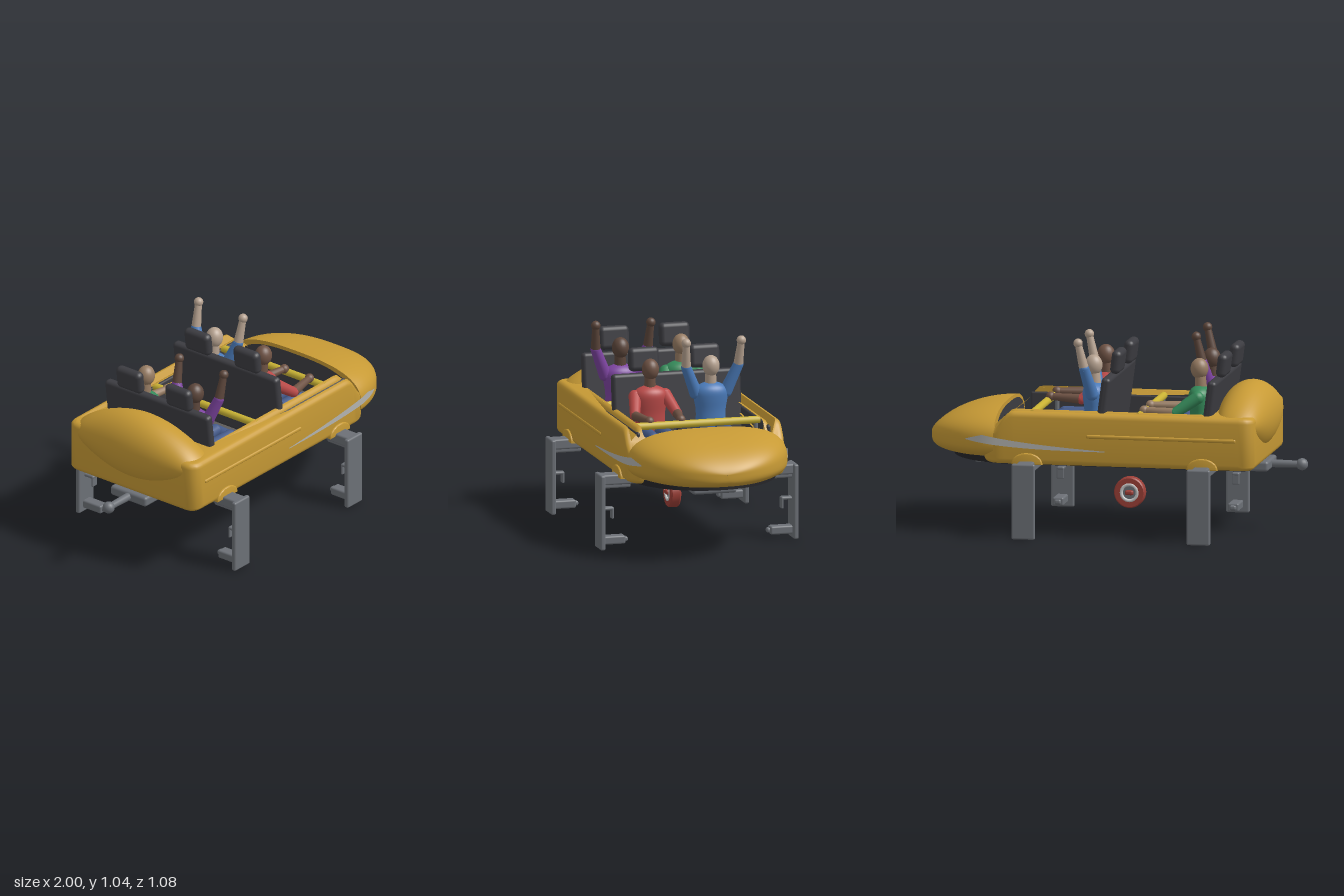
import * as THREE from 'three';
import { toCreasedNormals } from 'three/addons/utils/BufferGeometryUtils.js';
import { RoundedBoxGeometry } from 'three/addons/geometries/RoundedBoxGeometry.js';

const mat = (color, side = THREE.FrontSide) => new THREE.MeshStandardMaterial({ color, side });
const GOLD = mat(0xc79a35), DARK = mat(0x3c3c41), FLOOR = mat(0x5c5a59), BLACK = mat(0x242428);
const STEEL = mat(0x6c7076), RED = mat(0x9c3f37), JEANS = mat(0x445a8a), SHOE = mat(0xc4c4c4);
const STRIPE = mat(0xb4b4b0, THREE.DoubleSide), YELLOW = mat(0xc9b234);

function add(parent, name, geo, material, x = 0, y = 0, z = 0) {
  const m = new THREE.Mesh(geo, material);
  m.name = name;
  m.position.set(x, y, z);
  parent.add(m);
  return m;
}
const box = (w, h, d, r = 0.01) => new RoundedBoxGeometry(w, h, d, 3, Math.min(r, w / 2.1, h / 2.1, d / 2.1));

// Tapered round bar between two points
function bar(parent, name, a, b, r0, r1, material) {
  const p = new THREE.Vector3(...a), q = new THREE.Vector3(...b), d = q.clone().sub(p);
  const m = add(parent, name, new THREE.CylinderGeometry(r1, r0, d.length(), 16), material);
  m.position.copy(p).addScaledVector(d, 0.5);
  m.quaternion.setFromUnitVectors(new THREE.Vector3(0, 1, 0), d.normalize());
  return m;
}
const ball = (parent, name, p, r, material) => add(parent, name, new THREE.SphereGeometry(r, 16, 12), material, ...p);

// Smooth skin over closed rings of equal length
function loft(rings) {
  const n = rings[0].length, idx = [];
  for (let s = 0; s < rings.length - 1; s++) for (let i = 0; i < n; i++) {
    const a = s * n + i, b = s * n + (i + 1) % n;
    idx.push(a, a + n, b, b, a + n, b + n);
  }
  const g = new THREE.BufferGeometry();
  g.setAttribute('position', new THREE.Float32BufferAttribute(rings.flat(2), 3));
  g.setIndex(idx);
  g.computeVertexNormals();
  return g;
}

// Rounded plan outline, with separate rear and front corner radii
function planOutline(x0, x1, h, r0, r1) {
  const s = new THREE.Shape();
  s.absarc(x1 - r1, h - r1, r1, Math.PI / 2, 0, true);
  s.absarc(x1 - r1, r1 - h, r1, 0, -Math.PI / 2, true);
  s.absarc(x0 + r0, r0 - h, r0, -Math.PI / 2, -Math.PI, true);
  s.absarc(x0 + r0, h - r0, r0, Math.PI, Math.PI / 2, true);
  s.closePath();
  return s.getSpacedPoints(180).slice(0, -1);
}

const spow = (v, e) => Math.sign(v) * Math.abs(v) ** e;
function noseRing(u) {
  const c = Math.cos(u), ring = [];
  for (let i = 0; i < 64; i++) {
    const a = i / 64 * Math.PI * 2, sn = Math.sin(a);
    const up = 0.175 * c ** 1.3, down = 0.1 * c ** 0.45;
    ring.push([0.58 + 0.42 * Math.sin(u), 0.48 + spow(sn, 0.72) * (sn > 0 ? up : down), 0.43 * c * spow(Math.cos(a), 0.72)]);
  }
  return ring;
}

function buildBody(root) {
  const g = new THREE.Group();
  g.name = 'body';
  root.add(g);

  // Tub wall: ring with rounded rims, dipping where it meets the nose
  const shape = new THREE.Shape(planOutline(-0.79, 0.66, 0.43, 0.06, 0.1));
  shape.holes.push(new THREE.Path(planOutline(-0.57, 0.585, 0.36, 0.04, 0.05)));
  const b = 0.03;
  const tub = new THREE.ExtrudeGeometry(shape, { depth: 0.28 - 2 * b, bevelThickness: b, bevelSize: b, bevelOffset: -b, bevelSegments: 5 });
  tub.rotateX(-Math.PI / 2).translate(0, 0.38 + b, 0);
  const p = tub.attributes.position;
  for (let i = 0; i < p.count; i++) if (p.getY(i) > 0.55)
    p.setY(i, p.getY(i) - 0.11 * THREE.MathUtils.smoothstep(p.getX(i), 0.5, 0.61));
  add(g, 'tub', toCreasedNormals(tub, 0.7), GOLD);

  // Nose and its dark inner bulkhead
  const rings = [];
  for (let i = 0; i <= 28; i++) rings.push(noseRing(0.04 + (Math.PI / 2 - 0.041) * i / 28));
  add(g, 'nose', loft(rings), GOLD);
  const cap = new THREE.Shape(rings[0].map(q => new THREE.Vector2(q[2], q[1])));
  const rim = add(g, 'noseRim', new THREE.ShapeGeometry(cap), GOLD, 0.597);
  const bulk = add(g, 'noseBulkhead', new THREE.ShapeGeometry(cap), DARK, 0.59, 0.03, 0);
  rim.rotation.y = bulk.rotation.y = -Math.PI / 2;
  bulk.scale.set(0.9, 0.93, 1);

  // Rear hump, highest in the middle
  const hump = [];
  for (let i = 0; i <= 40; i++) {
    const v = Math.cos(i / 40 * Math.PI), c = Math.cos(v * Math.PI / 2) ** 0.9;
    const e = Math.sqrt(Math.max(0, 1 - Math.abs(v) ** 12));
    hump.push(Array.from({ length: 40 }, (_, k) => {
      const a = k / 40 * Math.PI * 2;
      return [-0.69 + (0.09 + 0.06 * c) * e * Math.cos(a), 0.61 + (0.04 + 0.145 * c) * e * Math.sin(a), 0.42 * v];
    }));
  }
  add(g, 'rearHump', loft(hump), GOLD);

  // Dark underside
  const under = new THREE.Shape();
  under.moveTo(-0.74, -0.39);
  under.lineTo(0.5, -0.39);
  under.absellipse(0.5, 0, 0.38, 0.39, -Math.PI / 2, Math.PI / 2, false);
  under.lineTo(-0.74, 0.39);
  const ug = new THREE.ExtrudeGeometry(under, { depth: 0.03, bevelEnabled: false, curveSegments: 40 });
  add(g, 'underside', ug.rotateX(-Math.PI / 2), BLACK, 0, 0.376, 0);

  // Interior floor and lining
  add(g, 'floor', box(1.2, 0.03, 0.74), FLOOR, 0.01, 0.425, 0);
  add(g, 'rearLining', box(0.02, 0.22, 0.72), DARK, -0.565, 0.52, 0);
  for (const s of [1, -1]) {
    add(g, 'sideLining', box(1.12, 0.22, 0.02), DARK, -0.01, 0.525, s * 0.355);
    add(g, 'sideRib', box(0.8, 0.022, 0.02), GOLD, -0.3, 0.54, s * 0.426);
    // Painted stripe following the hull
    const pos = [], idx = [];
    for (let i = 0; i <= 40; i++) {
      const t = i / 40, x = 0.75 * t, k = Math.max(0, x - 0.58) / 0.42;
      const z = s * (0.43 * Math.sqrt(1 - k * k) + 0.003);
      const lo = 0.46 + 0.04 * t ** 3;
      pos.push(x, lo, z, x, lo + 0.004 + 0.045 * t * Math.min(1, (1 - t) * 8), z);
      if (i) idx.push(2 * i - 2, 2 * i, 2 * i - 1, 2 * i - 1, 2 * i, 2 * i + 1);
    }
    const sg = new THREE.BufferGeometry();
    sg.setAttribute('position', new THREE.Float32BufferAttribute(pos, 3));
    sg.setIndex(idx);
    sg.computeVertexNormals();
    add(g, 'stripe', sg, STRIPE);
    // Arched lips over the cross beams
    for (const x of [-0.52, 0.415]) {
      const arch = new THREE.Shape().absellipse(0, 0, 0.075, 0.048, 0, Math.PI, false);
      const ag = new THREE.ExtrudeGeometry(arch, { depth: 0.04, bevelThickness: 0.006, bevelSize: 0.006, bevelSegments: 3, curveSegments: 20 });
      add(g, 'archLip', toCreasedNormals(ag, 0.6), GOLD, x, 0.388, s * 0.415 - 0.02);
    }
  }
}

function buildChassis(root) {
  const g = new THREE.Group();
  g.name = 'chassis';
  root.add(g);
  add(g, 'mainBeam', box(1.57, 0.055, 0.24, 0.015), STEEL, -0.025, 0.358, 0);
  bar(g, 'towBar', [-0.97, 0.358, 0], [-0.78, 0.358, 0], 0.018, 0.022, STEEL);
  ball(g, 'towBall', [-0.968, 0.358, 0], 0.032, STEEL);
  for (const x of [-0.52, 0.415]) {
    add(g, 'crossBeam', box(0.085, 0.055, 1.06), STEEL, x, 0.372, 0);
    for (const s of [1, -1]) {
      add(g, 'leg', box(0.125, 0.4, 0.028), STEEL, x, 0.2, s * 0.526);
      add(g, 'gusset', box(0.05, 0.03, 0.16), STEEL, x, 0.338, s * 0.445);
      add(g, 'hookArm', box(0.04, 0.018, 0.075), STEEL, x, 0.213, s * 0.492);
      add(g, 'hookTip', box(0.04, 0.06, 0.012), STEEL, x, 0.188, s * 0.462);
      add(g, 'foot', box(0.06, 0.045, 0.13), STEEL, x, 0.046, s * 0.46);
      add(g, 'footTip', box(0.035, 0.026, 0.03), STEEL, x, 0.046, s * 0.393);
    }
  }
  // Central wheel
  const w = new THREE.Group();
  w.name = 'wheel';
  w.position.set(-0.05, 0.18, 0);
  w.rotation.x = Math.PI / 2;
  g.add(w);
  const tyre = [[0.04, -0.022], [0.05, -0.028], [0.076, -0.028], [0.082, -0.02], [0.082, 0.02], [0.076, 0.028], [0.05, 0.028], [0.04, 0.022]];
  add(w, 'tyre', toCreasedNormals(new THREE.LatheGeometry(tyre.map(q => new THREE.Vector2(...q)), 40), 0.5), RED);
  add(w, 'rimDisc', new THREE.CylinderGeometry(0.045, 0.045, 0.04, 32), STEEL);
  for (const s of [1, -1]) {
    const ring = add(w, 'rimRing', new THREE.TorusGeometry(0.043, 0.009, 10, 36), SHOE, 0, s * 0.023, 0);
    ring.rotation.x = Math.PI / 2;
  }
  add(w, 'hub', box(0.045, 0.08, 0.025), RED);
}

function buildSeatRow(root, dx) {
  const g = new THREE.Group();
  g.name = 'seatRow';
  g.position.x = dx;
  root.add(g);
  add(g, 'backrest', box(0.05, 0.4, 0.7, 0.02), DARK, 0.035, 0.64, 0).rotation.z = 0.13;
  add(g, 'cushion', box(0.34, 0.08, 0.7, 0.02), DARK, 0.19, 0.475, 0);
  add(g, 'divider', box(0.25, 0.06, 0.03), DARK, 0.2, 0.53, 0);
  for (const s of [1, -1]) {
    add(g, 'headrest', box(0.055, 0.125, 0.165, 0.026), DARK, -0.02, 0.905, s * 0.165).rotation.z = 0.13;
    bar(g, 'lapBarPost', [0.405, 0.43, s * 0.325], [0.405, 0.64, s * 0.325], 0.012, 0.012, STEEL);
  }
  bar(g, 'lapBar', [0.405, 0.638, -0.345], [0.405, 0.638, 0.345], 0.02, 0.02, YELLOW);
}

function buildRider(root, dx, z, shirtColor, skinColor, raised) {
  const g = new THREE.Group();
  g.name = 'rider';
  g.position.set(dx, 0, z);
  root.add(g);
  const shirt = mat(shirtColor), skin = mat(skinColor);
  const prof = [[0.001, 0.51], [0.075, 0.52], [0.08, 0.57], [0.08, 0.64], [0.09, 0.7], [0.092, 0.74], [0.075, 0.768], [0.035, 0.787], [0.001, 0.79]];
  const pts = new THREE.SplineCurve(prof.map(q => new THREE.Vector2(...q))).getPoints(30).map(q => new THREE.Vector2(Math.max(0, q.x), q.y));
  add(g, 'torso', new THREE.LatheGeometry(pts, 28), shirt, 0.105, 0, 0).scale.x = 0.68;
  bar(g, 'neck', [0.102, 0.76, 0], [0.108, 0.85, 0], 0.032, 0.028, skin);
  add(g, 'head', new THREE.SphereGeometry(0.047, 24, 18), skin, 0.112, 0.877, 0).scale.set(1, 1.18, 0.96);
  for (const s of [1, -1]) {
    // Legs
    const hip = [0.12, 0.545, s * 0.045], knee = [0.34, 0.555, s * 0.05], ankle = [0.485, 0.465, s * 0.048];
    bar(g, 'thigh', hip, knee, 0.04, 0.033, JEANS);
    ball(g, 'knee', knee, 0.033, JEANS);
    bar(g, 'shin', knee, ankle, 0.032, 0.022, JEANS);
    add(g, 'shoe', box(0.09, 0.034, 0.038, 0.016), SHOE, 0.51, 0.458, s * 0.048);
    // Arms: raised overhead or resting on the lap bar
    const shoulder = [0.105, 0.735, s * 0.082];
    const elbow = raised ? [0.135, 0.88, s * 0.142] : [0.22, 0.655, s * 0.115];
    const hand = raised ? [0.165, 1.015, s * 0.15] : [0.39, 0.66, s * 0.085];
    ball(g, 'shoulder', shoulder, 0.034, shirt);
    bar(g, 'upperArm', shoulder, elbow, 0.034, 0.027, shirt);
    ball(g, 'elbow', elbow, 0.027, shirt);
    bar(g, 'forearm', elbow, hand, 0.026, 0.018, skin);
    ball(g, 'hand', hand, 0.025, skin);
  }
}

export function createModel() {
  const root = new THREE.Group();
  root.name = 'coasterCar';
  buildBody(root);
  buildChassis(root);
  for (const dx of [0, -0.565]) buildSeatRow(root, dx);
  buildRider(root, 0, 0.165, 0xb94a48, 0x6e5244, false);
  buildRider(root, 0, -0.165, 0x4a7ab8, 0xb5a18f, true);
  buildRider(root, -0.565, 0.165, 0x7d44a0, 0x5c463b, true);
  buildRider(root, -0.565, -0.165, 0x358a5a, 0x977c63, false);
  return root;
}
